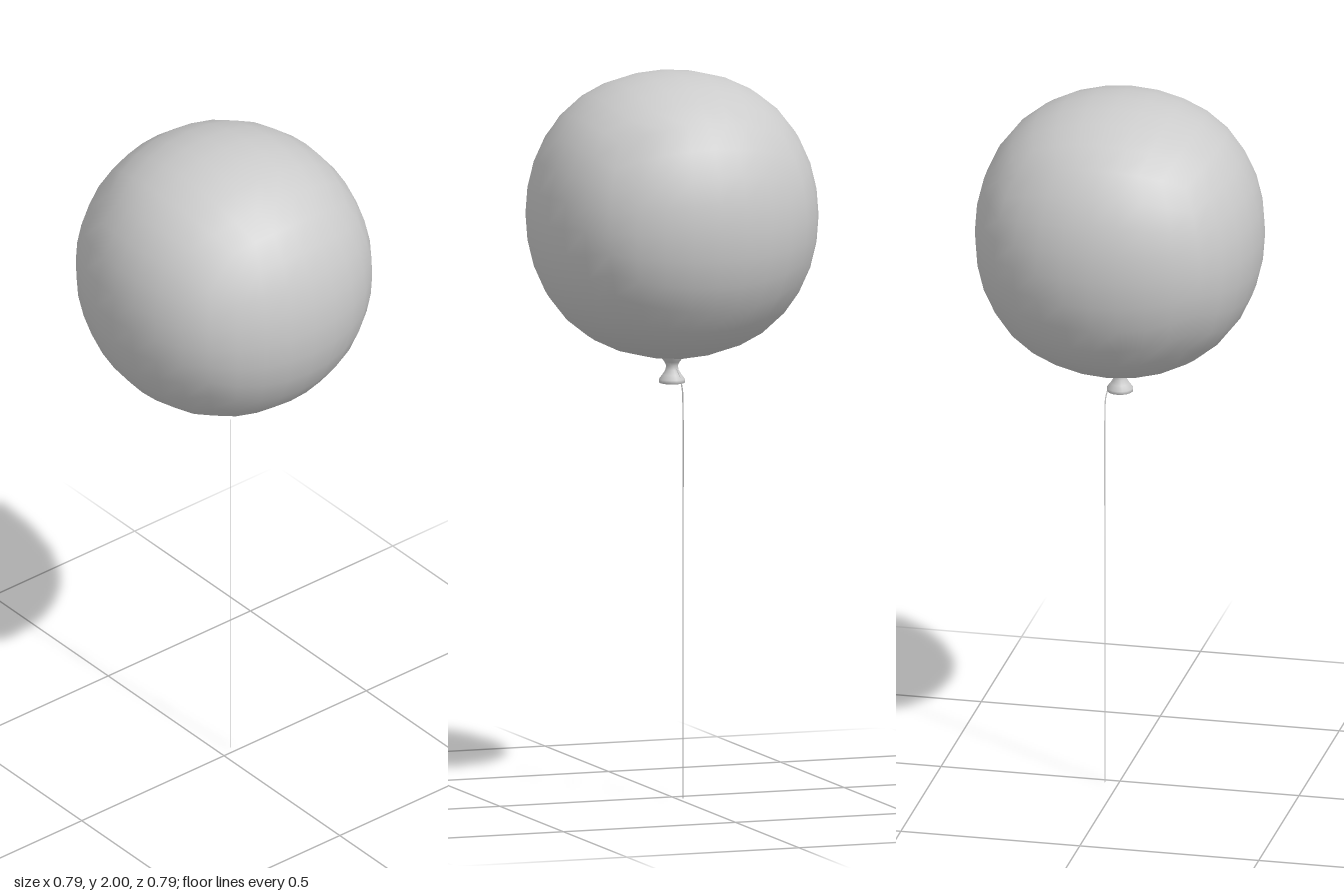
import * as THREE from 'three';
import { mergeVertices } from 'three/addons/utils/BufferGeometryUtils.js';

const RADIUS = 0.394;
const CENTRE_Y = 1.606;

// Rounded cube-sphere: equal angular steps, swelling slightly towards edges and corners
function balloonGeometry() {
  let geo = new THREE.BoxGeometry(2, 2, 2, 8, 8, 8);
  geo.deleteAttribute('uv');
  geo.deleteAttribute('normal');
  geo = mergeVertices(geo);
  const pos = geo.attributes.position;
  const v = new THREE.Vector3();
  const bend = (c) => Math.tan((c * Math.PI) / 4);
  for (let i = 0; i < pos.count; i++) {
    v.fromBufferAttribute(pos, i);
    v.set(bend(v.x), bend(v.y), bend(v.z)).normalize();
    const q = v.x ** 4 + v.y ** 4 + v.z ** 4;
    v.multiplyScalar(RADIUS * (1 + 0.06 * (1 - q)));
    pos.setXYZ(i, v.x, v.y, v.z);
  }
  geo.computeVertexNormals();
  return geo;
}

// Flat ribbon: a plane whose rows follow a curve, widened along a fixed direction
function ribbonGeometry(curve, width, across, segments) {
  const geo = new THREE.PlaneGeometry(1, 1, 1, segments);
  const pos = geo.attributes.position;
  for (let i = 0; i < pos.count; i++) {
    const p = curve.getPoint(0.5 - pos.getY(i));
    p.addScaledVector(across, pos.getX(i) * width);
    pos.setXYZ(i, p.x, p.y, p.z);
  }
  geo.computeVertexNormals();
  return geo;
}

export function createModel() {
  const group = new THREE.Group();
  const rubber = new THREE.MeshStandardMaterial({ color: 0xcccccc });
  const thin = new THREE.MeshStandardMaterial({ color: 0xcccccc, side: THREE.DoubleSide });

  // Inflated body
  const balloon = new THREE.Mesh(balloonGeometry(), rubber);
  balloon.name = 'balloon';
  balloon.position.y = CENTRE_Y;
  group.add(balloon);

  // Tied neck: pinched waist flaring to a rolled lip with a hollow underside
  const profile = [
    [0, 1.155], [0.024, 1.147], [0.031, 1.141], [0.036, 1.143], [0.036, 1.152],
    [0.026, 1.165], [0.018, 1.178], [0.016, 1.19], [0.021, 1.2], [0.032, 1.213], [0.034, 1.222],
  ].map(([r, y]) => new THREE.Vector2(r, y));
  const neck = new THREE.Mesh(new THREE.LatheGeometry(profile, 16), thin);
  neck.name = 'neck';
  group.add(neck);

  // String: leaves the waist, bends over the lip and hangs straight down
  const path = new THREE.CatmullRomCurve3(
    [[0.012, 1.185], [0.028, 1.155], [0.036, 1.125], [0.038, 1.08], [0.038, 0.7], [0.038, 0.35], [0.038, 0]]
      .map(([x, y]) => new THREE.Vector3(x, y, -0.47 * x)),
  );
  const across = new THREE.Vector3(1, 0, -1).normalize();
  const string = new THREE.Mesh(ribbonGeometry(path, 0.004, across, 30), thin);
  string.name = 'string';
  group.add(string);

  return group;
}
